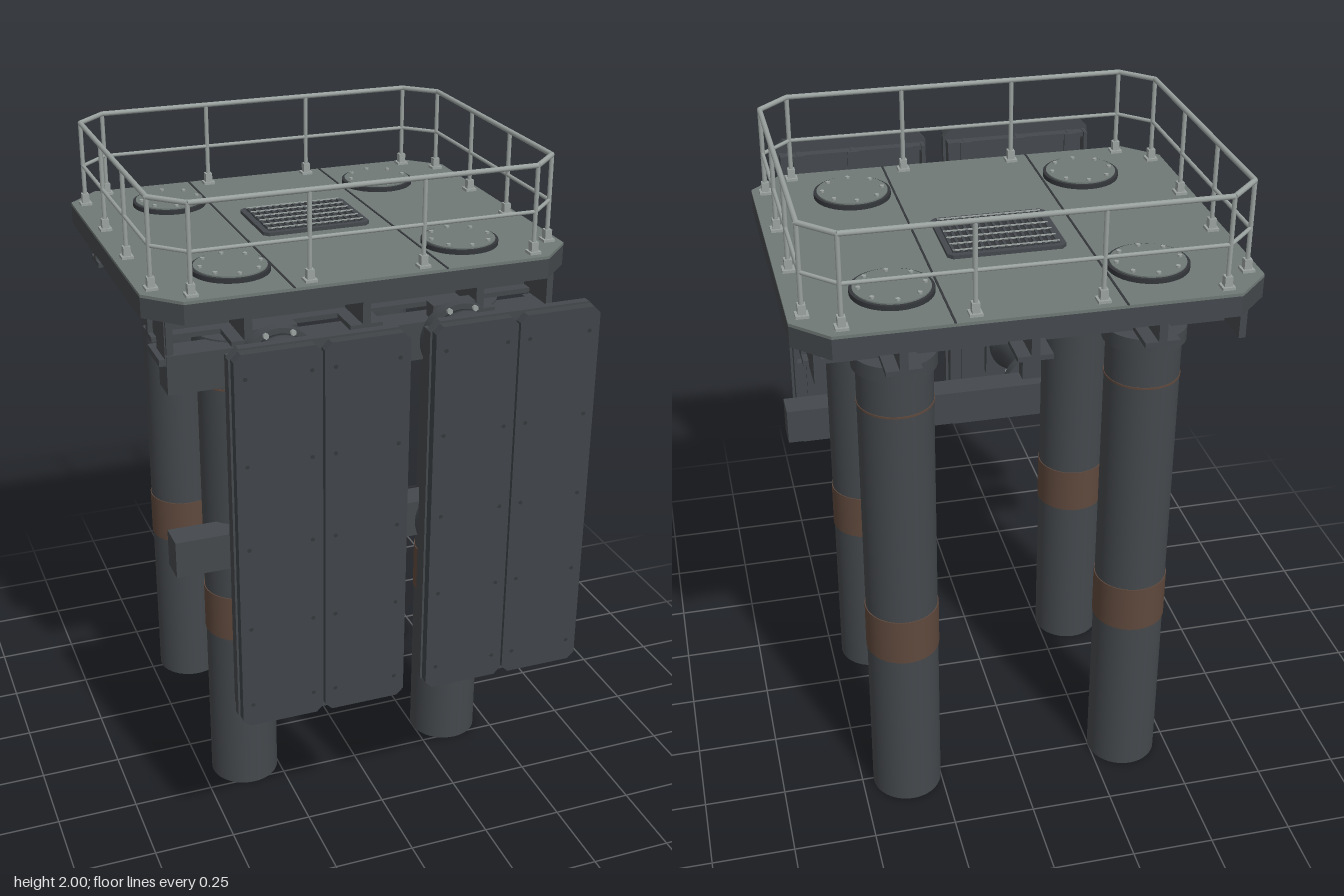
import * as THREE from 'three';

const mat = (name, color) => new THREE.MeshStandardMaterial({ name, color });

export function createModel() {
  const M = {
    deck: mat('deck grey green', 0x6f7976),
    steel: mat('dark steel', 0x44484c),
    panel: mat('panel slate', 0x404448),
    dark: mat('rubber and seams', 0x34373b),
    rust: mat('rust', 0x5e483c),
    rail: mat('galvanised rail', 0x9aa29f),
  };
  const root = new THREE.Group();
  root.name = 'fenderPlatform';

  // helpers
  const add = (name, geo, m, x = 0, y = 0, z = 0, parent = root) => {
    const mesh = new THREE.Mesh(geo, m);
    mesh.name = name;
    mesh.position.set(x, y, z);
    parent.add(mesh);
    return mesh;
  };
  // box given by its limits
  const box = (name, m, x0, x1, y0, y1, z0, z1, parent = root) =>
    add(name, new THREE.BoxGeometry(x1 - x0, y1 - y0, z1 - z0), m,
      (x0 + x1) / 2, (y0 + y1) / 2, (z0 + z1) / 2, parent);
  const cyl = (name, m, r, y0, y1, x, z, seg = 40) =>
    add(name, new THREE.CylinderGeometry(r, r, y1 - y0, seg), m, x, (y0 + y1) / 2, z);
  const octagon = (x0, x1, y0, y1, c) => [
    [x0 + c, y0], [x1 - c, y0], [x1, y0 + c], [x1, y1 - c],
    [x1 - c, y1], [x0 + c, y1], [x0, y1 - c], [x0, y0 + c],
  ].map(p => new THREE.Vector2(...p));
  const slab = (pts, depth) =>
    new THREE.ExtrudeGeometry(new THREE.Shape(pts), { depth, bevelEnabled: false });
  const rod = (name, a, b, r, m, parent = root) => {
    const d = b.clone().sub(a);
    const mesh = add(name, new THREE.CylinderGeometry(r, r, d.length(), 8), m, 0, 0, 0, parent);
    mesh.position.copy(a).add(b).multiplyScalar(0.5);
    mesh.quaternion.setFromUnitVectors(new THREE.Vector3(0, 1, 0), d.normalize());
  };

  // deck: dark slab, painted top, seams
  const outline = octagon(-0.65, 0.65, -0.73, 0.365, 0.098);
  add('deckSlab', slab(outline, 0.06).rotateX(Math.PI / 2), M.steel, 0, 1.72, 0);
  add('deckTop', slab(outline, 0.009).rotateX(Math.PI / 2), M.deck, 0, 1.729, 0);
  for (const x of [-0.233, 0.23]) box('deckSeam', M.dark, x - 0.003, x + 0.003, 1.727, 1.731, -0.73, 0.365);

  // I-beams below the deck
  const iBeam = (alongX, c, a, b, y0, y1) => {
    const part = (w, lo, hi) => alongX
      ? box('deckBeam', M.steel, a, b, lo, hi, c - w, c + w)
      : box('deckBeam', M.steel, c - w, c + w, lo, hi, a, b);
    part(0.05, y0, y0 + 0.015);
    part(0.012, y0, y1);
    part(0.05, y1 - 0.015, y1);
  };
  for (const z of [0.16, -0.51]) iBeam(true, z, -0.61, 0.61, 1.56, 1.662);
  for (const x of [-0.357, 0, 0.357]) iBeam(false, x, -0.67, 0.32, 1.56, 1.662);
  for (const s of [-1, 1]) {
    box('edgeBeam', M.steel, s * 0.585 - 0.01, s * 0.585 + 0.01, 1.56, 1.662, -0.67, 0.32);
    box('beamBracket', M.steel, s * 0.59 - 0.025, s * 0.59 + 0.025, 1.525, 1.545, 0.18, 0.31);
    box('beamBracket', M.steel, s * 0.59 - 0.008, s * 0.59 + 0.008, 1.53, 1.66, 0.22, 0.31);
  }

  // piles, rust bands and hatches above them
  for (const x of [-0.357, 0.357]) for (const z of [0.16, -0.51]) {
    cyl('pile', M.steel, 0.108, 0, 1.56, x, z);
    cyl('pileCollar', M.steel, 0.12, 1.515, 1.56, x, z);
    cyl('rustBand', M.rust, 0.111, 0.55, 0.7, x, z);
    cyl('rustWeld', M.rust, 0.11, 1.397, 1.403, x, z);
    cyl('hatchRim', M.dark, 0.116, 1.725, 1.743, x, z);
    cyl('hatchLid', M.deck, 0.107, 1.73, 1.747, x, z);
    for (let i = 0; i < 8; i++) {
      const a = i * Math.PI / 4;
      cyl('hatchBolt', M.rail, 0.007, 1.745, 1.753, x + 0.091 * Math.cos(a), z + 0.091 * Math.sin(a), 6);
    }
  }

  // grating in the deck
  add('gratingFrame', slab(octagon(-0.173, 0.17, -0.352, -0.088, 0.015), 0.015).rotateX(Math.PI / 2),
    M.steel, 0, 1.74, 0);
  box('gratingPit', M.dark, -0.155, 0.153, 1.735, 1.741, -0.335, -0.105);
  for (let i = 0; i < 15; i++) {
    const x = -0.15 + i * 0.0214;
    box('gratingBar', M.steel, x - 0.004, x + 0.004, 1.738, 1.746, -0.335, -0.105);
  }
  for (let i = 0; i < 6; i++) {
    const z = -0.33 + i * 0.0435;
    box('gratingRod', M.rail, -0.155, 0.153, 1.744, 1.748, z - 0.002, z + 0.002);
  }

  // railing
  const railing = new THREE.Group();
  railing.name = 'railing';
  root.add(railing);
  const loop = octagon(-0.61, 0.61, -0.69, 0.325, 0.09);
  for (const [y, r] of [[1.992, 0.008], [1.855, 0.006]])
    loop.forEach((p, i) => {
      const q = loop[(i + 1) % 8];
      rod('railBar', new THREE.Vector3(p.x, y, p.y), new THREE.Vector3(q.x, y, q.y), r, M.rail, railing);
    });
  const post = (x, z) => {
    rod('railPost', new THREE.Vector3(x, 1.73, z), new THREE.Vector3(x, 1.992, z), 0.007, M.rail, railing);
    box('postFoot', M.rail, x - 0.018, x + 0.018, 1.729, 1.737, z - 0.018, z + 0.018, railing);
    box('postSocket', M.rail, x - 0.011, x + 0.011, 1.735, 1.765, z - 0.011, z + 0.011, railing);
  };
  for (const x of [-0.52, -0.175, 0.17, 0.52]) for (const z of [-0.69, 0.325]) post(x, z);
  for (const z of [-0.6, -0.32, -0.045, 0.235]) for (const x of [-0.61, 0.61]) post(x, z);

  // fender carrying frame in front of the piles
  for (const [y0, y1] of [[0.845, 0.962], [1.437, 1.555]]) {
    box('crossBeam', M.steel, -0.57, 0.57, y0, y1, 0.225, 0.315);
    for (const s of [-1, 1])
      box('beamEnd', M.steel, s * 0.565 - 0.03, s * 0.565 + 0.03, y0, y1, 0.225, 0.315);
  }
  for (const s of [-1, 1])
    box('framePost', M.steel, s * 0.28 - 0.07, s * 0.28 + 0.07, 0.82, 1.6, 0.265, 0.314);

  // rubber spool between frame and panel
  const spool = new THREE.LatheGeometry([
    [0, 0.36], [0.098, 0.36], [0.098, 0.378], [0.088, 0.39], [0.079, 0.42], [0.071, 0.46], [0.068, 0.5],
    [0.071, 0.54], [0.079, 0.58], [0.088, 0.608], [0.098, 0.618], [0.098, 0.638], [0, 0.638],
  ].map(p => new THREE.Vector2(...p)), 36).rotateX(Math.PI / 2);
  const disc = new THREE.CylinderGeometry(0.115, 0.115, 0.035, 36).rotateX(Math.PI / 2);
  const bolt = new THREE.CylinderGeometry(0.009, 0.009, 0.014, 6).rotateX(Math.PI / 2);

  for (const s of [-1, 1]) {
    const fender = new THREE.Group();
    fender.name = s > 0 ? 'leftFender' : 'rightFender';
    fender.position.x = s * 0.28;
    root.add(fender);
    for (const y of [0.9, 1.5]) {
      add('rubberSpool', spool, M.panel, 0, y, 0, fender);
      add('mountingFlange', disc, M.steel, 0, y, 0.343, fender);
      for (let i = 0; i < 8; i++) {
        const a = (i + 0.5) * Math.PI / 4;
        add('flangeBolt', bolt, M.rail, 0.106 * Math.cos(a), y + 0.106 * Math.sin(a), 0.364, fender);
      }
      box('spoolPlate', M.steel, -0.11, 0.11, y - 0.11, y + 0.11, 0.632, 0.66, fender);
    }
    // panel: backing plate and two facing pads
    add('panelPlate', slab(octagon(-0.25, 0.25, 0.565, 1.715, 0.028), 0.025), M.steel, 0, 0, 0.677, fender);
    for (const [x0, x1] of [[-0.244, -0.003], [0.003, 0.244]]) {
      add('facingPad', slab(octagon(x0, x1, 0.571, 1.709, 0.02), 0.028), M.panel, 0, 0, 0.702, fender);
      for (let i = 0; i < 5; i++) for (const x of [x0 + 0.03, x1 - 0.03])
        add('padBolt', new THREE.CylinderGeometry(0.006, 0.006, 0.002, 8).rotateX(Math.PI / 2),
          M.dark, x, 0.64 + i * 0.25, 0.73, fender);
    }
    // stiffeners on the back of the panel
    for (const x of [-0.18, 0, 0.18]) {
      box('verticalRib', M.steel, x - 0.007, x + 0.007, 0.6, 1.68, 0.637, 0.68, fender);
      box('ribFlange', M.steel, x - 0.02, x + 0.02, 0.6, 1.68, 0.633, 0.641, fender);
    }
    for (const y of [0.61, 0.9, 1.2, 1.5, 1.67])
      box('horizontalRib', M.steel, -0.235, 0.235, y - 0.008, y + 0.008, 0.645, 0.68, fender);
    for (const x of [-0.235, 0.235])
      box('sideRib', M.steel, x - 0.006, x + 0.006, 0.6, 1.68, 0.637, 0.68, fender);
  }
  return root;
}
